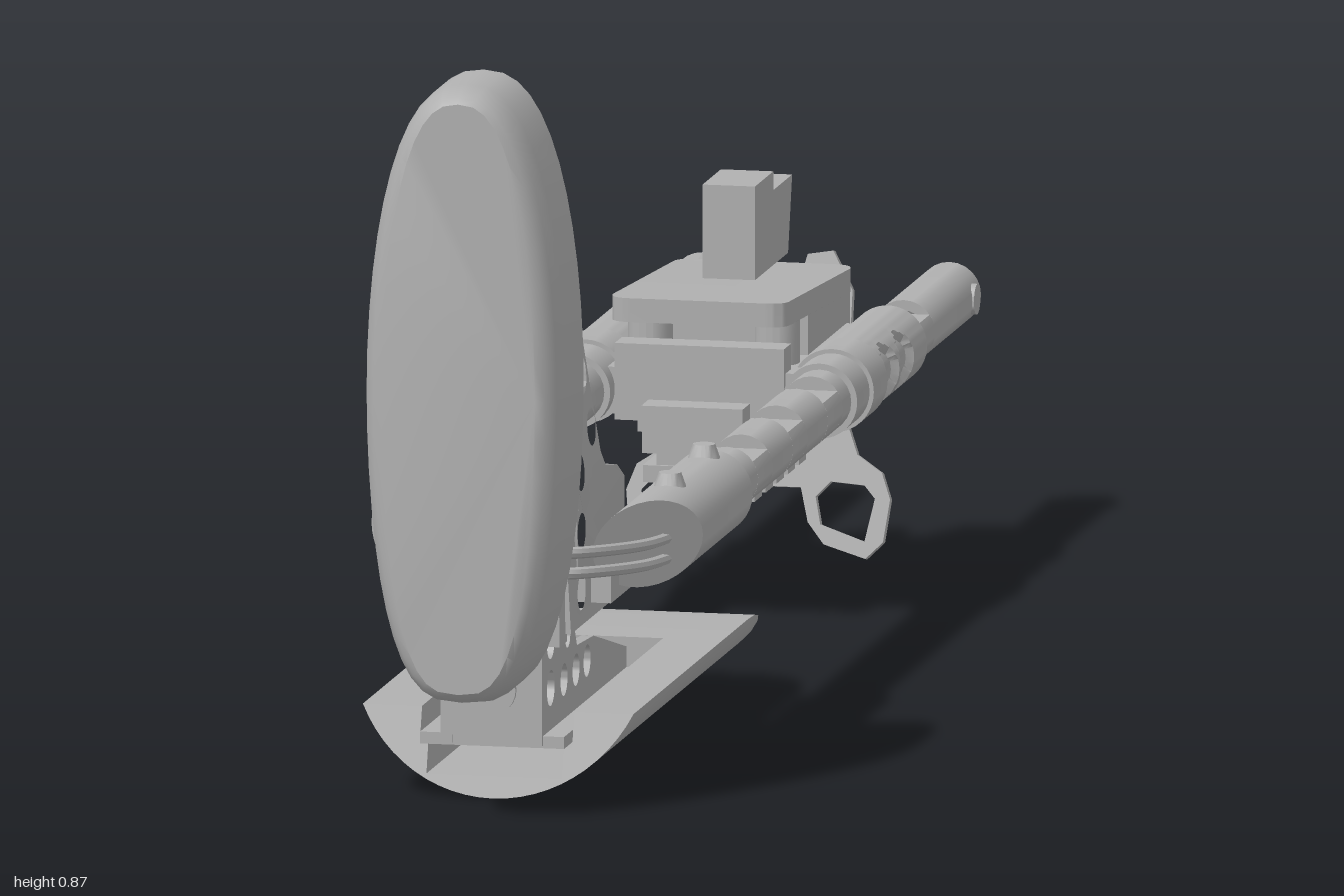
import * as THREE from 'three';
import { toCreasedNormals } from 'three/addons/utils/BufferGeometryUtils.js';

const TX = 0.146, TY = 0.274; // tube axis

export function createModel() {
  const model = new THREE.Group();
  const grey = new THREE.MeshStandardMaterial({ color: 0xb0b0b0 });
  grey.name = 'grey';

  const add = (name, geo, x = 0, y = 0, z = 0) => {
    const mesh = new THREE.Mesh(toCreasedNormals(geo, 0.6), grey);
    mesh.name = name;
    mesh.position.set(x, y, z);
    model.add(mesh);
    return mesh;
  };
  // box given by its ranges
  const box = (name, x0, x1, y0, y1, z0, z1) =>
    add(name, new THREE.BoxGeometry(x1 - x0, y1 - y0, z1 - z0), (x0 + x1) / 2, (y0 + y1) / 2, (z0 + z1) / 2);
  const rod = (r, len, seg = 24) => new THREE.CylinderGeometry(r, r, len, seg).rotateX(Math.PI / 2);
  const shapeOf = (pts) => new THREE.Shape(pts.map((p) => new THREE.Vector2(...p)));
  const circle = (x, y, r) => new THREE.Path().absarc(x, y, r, 0, Math.PI * 2, true);
  const extrude = (shape, depth) =>
    new THREE.ExtrudeGeometry(shape, { depth, bevelEnabled: false, curveSegments: 12 }).translate(0, 0, -depth / 2);
  // side profile (z, y) extruded across x
  const side = (pts, width, holes = []) => {
    const s = shapeOf(pts);
    s.holes = holes.map((h) => circle(...h));
    return extrude(s, width).rotateY(-Math.PI / 2);
  };
  const bend = (geo, rule) => {
    const p = geo.attributes.position, v = new THREE.Vector3();
    for (let i = 0; i < p.count; i++) {
      rule(v.fromBufferAttribute(p, i));
      p.setXYZ(i, v.x, v.y, v.z);
    }
    return geo;
  };
  // closed convex rings, counter-clockwise from +z, ordered by rising z
  const loft = (rings) => {
    const n = rings[0].length, pos = [], idx = [];
    rings.forEach((r) => r.forEach((p) => pos.push(...p)));
    for (let i = 0; i < rings.length - 1; i++)
      for (let j = 0; j < n; j++) {
        const a = i * n + j, b = i * n + (j + 1) % n;
        idx.push(a, b, b + n, a, b + n, a + n);
      }
    const last = (rings.length - 1) * n;
    for (let j = 1; j < n - 1; j++) idx.push(0, j + 1, j, last, last + j, last + j + 1);
    const g = new THREE.BufferGeometry();
    g.setAttribute('position', new THREE.Float32BufferAttribute(pos, 3));
    g.setIndex(idx);
    return g;
  };

  // Shoulder pad with rounded front rim
  const padRing = ([z, inset]) => Array.from({ length: 48 }, (_, i) => {
    const t = (i / 48) * Math.PI * 2, c = Math.cos(t), s = Math.sin(t);
    const w = Math.sign(c) * Math.abs(c) ** (s > 0 ? 0.8 : 0.65);
    return [w * (0.118 - inset), 0.502 + s * (0.363 - inset * 0.6), z];
  });
  add('shoulderPad', loft([[0.86, 0], [0.955, 0], [0.98, 0.006], [0.994, 0.016], [1, 0.027]].map(padRing)));

  // Plate behind the pad
  add('padBackPlate', extrude(shapeOf([[-0.09, 0.19], [0.09, 0.19], [0.085, 0.6], [0.065, 0.74], [0.045, 0.78],
    [-0.045, 0.78], [-0.065, 0.74], [-0.085, 0.6]]), 0.04), 0, 0, 0.842);

  // Perforated side plates leaning together toward the top
  const column = [0.24, 0.31, 0.38, 0.45, 0.52, 0.6].map((y) => [0.772, y, 0.022]);
  for (const s of [-1, 1]) {
    const plate = side([[0.83, 0.2], [0.55, 0.2], [0.54, 0.22], [0.54, 0.335], [0.58, 0.355], [0.64, 0.365], [0.66, 0.385],
      [0.77, 0.71], [0.83, 0.71]], 0.025, [...column, [0.725, 0.485, 0.023], [0.697, 0.42, 0.022]]);
    add('sidePlate', bend(plate, (v) => { v.x += s * (0.084 - 0.08 * Math.max(0, v.y - 0.36)); }));
  }
  box('upperCrossBar', -0.065, 0.065, 0.55, 0.58, 0.735, 0.755);
  add('upperCrossPin', new THREE.CylinderGeometry(0.03, 0.03, 0.1, 24).rotateZ(Math.PI / 2), 0, 0.64, 0.79);

  // Curved web joining the sleeves
  const web = shapeOf([[-0.12, -0.72], [0.12, -0.72], [0.12, -0.5]]);
  web.quadraticCurveTo(0.06, -0.62, 0, -0.62);
  web.quadraticCurveTo(-0.06, -0.62, -0.12, -0.5);
  add('yokeWeb', extrude(web, 0.035).rotateX(-Math.PI / 2), 0, 0.235, 0);

  // Lower bracket with hole rows, sliding in the channel of the cheek rest
  const lowerHoles = [[0.772, 0.18, 0.021], [0.772, 0.125, 0.021], [0.7, 0.122, 0.019], [0.68, 0.17, 0.014],
    [0.635, 0.122, 0.019], [0.575, 0.122, 0.019]];
  for (const s of [-1, 1])
    add('lowerBracketSide', side([[0.82, 0.065], [0.82, 0.21], [0.665, 0.21], [0.63, 0.15], [0.54, 0.145], [0.36, 0.1],
      [0.36, 0.065]], 0.014, lowerHoles), s * 0.053);
  box('lowerBracketFront', -0.06, 0.06, 0.075, 0.21, 0.805, 0.82);
  add('lowerBracketBoss', rod(0.03, 0.008), 0, 0.13, 0.822);
  box('lowerBracketFoot', -0.085, 0.085, 0.062, 0.076, 0.36, 0.815);

  // Cheek rest: solid arc section, channelled at the front, scooped down at the rear
  const R = 0.178, arc = (h) => {
    const a = Math.acos(1 - h / R);
    return Array.from({ length: 25 }, (_, i) => {
      const t = -a + (2 * a * i) / 24;
      return [R * Math.sin(t), R - R * Math.cos(t)];
    });
  };
  add('cheekRestFront', bend(extrude(shapeOf([...arc(0.1), [0.09, 0.1], [0.09, 0.06], [0.08, 0.06], [0.08, 0.025],
    [-0.08, 0.025], [-0.08, 0.06], [-0.09, 0.06], [-0.09, 0.1]]), 0.5).translate(0, 0, 0.55),
  (v) => { if (v.z > 0.7) v.z += 0.012 - v.y * 0.3; }));
  const scoop = [[-0.01, 0.022], [0, 0.042], [0.02, 0.06], [0.05, 0.078], [0.08, 0.09], [0.12, 0.098], [0.16, 0.1], [0.3, 0.1]];
  add('cheekRestRear', loft(scoop.map(([z, h]) => arc(h).map(([x, y]) => [x, y, z]))));
  for (const z of [0.25, 0.56])
    add('cheekRestScrew', new THREE.TorusGeometry(0.016, 0.005, 8, 20).rotateX(Math.PI / 2), 0, 0.005, z);

  // Notched rods, sleeves and clamps on each side
  const notches = [[0.13, 0.21], [-0.06, 0.02], [-0.25, -0.17], [-0.75, -0.67]];
  const flat = new THREE.Shape().absarc(0, 0, 0.037, Math.PI - 0.6, Math.PI * 2 + 0.6, false);
  const ring = new THREE.Shape().absarc(0, 0, 0.037, 0, Math.PI * 2, false);
  ring.holes.push(circle(0, 0, 0.025));
  for (const s of [-1, 1]) {
    const x = s * TX;
    let z1 = 0.4;
    for (const [a, b] of notches) {
      add('rodSection', rod(0.037, z1 - b), x, TY, (z1 + b) / 2);
      add('rodNotch', extrude(flat, b - a), x, TY, (a + b) / 2);
      z1 = a;
    }
    add('rodEnd', extrude(ring, 0.25), x, TY, -0.875);
    add('rodEndButton', new THREE.CylinderGeometry(0.018, 0.018, 0.012, 20).rotateZ(Math.PI / 2), x + s * 0.033, TY, -0.97);

    // sleeve with slanted front end
    add('sleeve', bend(rod(0.05, 0.3, 32), (v) => {
      v.z = v.z < 0 ? 0.3 : 0.57 + (0.05 - s * v.x) * 1.4;
    }), x, TY, 0);
    for (const z of [0.335, 0.52])
      add('sleeveScrew', new THREE.CylinderGeometry(0.013, 0.02, 0.02, 20), x, 0.327, z);

    // bent wire stay
    for (const dy of [-0.012, 0.012]) {
      const path = new THREE.CatmullRomCurve3([[0.165, 0.262 + dy, 0.58], [0.15, 0.268 + dy, 0.68], [0.115, 0.282 + dy, 0.81],
        [0.095, 0.285 + dy, 0.84], [0.07, 0.285 + dy, 0.845]].map(([px, py, pz]) => new THREE.Vector3(s * px, py, pz)));
      add('wireStay', new THREE.TubeGeometry(path, 24, 0.007, 8));
    }

    // clamp with two scooped recesses on its outer face
    const clamp = new THREE.CylinderGeometry(0.046, 0.046, 0.3, 48, 60).rotateX(Math.PI / 2);
    add('clamp', bend(clamp, (v) => {
      const r = Math.hypot(v.x, v.y);
      for (const hz of [0.035, -0.045])
        if (r > 0.04 && s * v.x > 0 && Math.hypot(v.z - hz, v.y) < 0.034) { v.x *= 0.8; v.y *= 0.8; }
    }), x, TY, -0.515);
    add('clampCollar', rod(0.049, 0.075, 32), x, TY, -0.4);
    add('clampEnd', rod(0.044, 0.07, 32), x, TY, -0.33);
    box('clampBridge', s > 0 ? 0.07 : -0.13, s > 0 ? 0.13 : -0.07, 0.245, 0.3, -0.65, -0.32);
    add('coverPost', new THREE.CylinderGeometry(0.026, 0.026, 0.08, 20), s * 0.075, 0.325, -0.39);
  }

  // Rear housing: cover, core and grooved rail
  const cover = new THREE.Shape().moveTo(-0.08, 0.3).lineTo(0.08, 0.3).quadraticCurveTo(0.105, 0.3, 0.105, 0.325)
    .lineTo(0.105, 0.645).quadraticCurveTo(0.105, 0.67, 0.08, 0.67).lineTo(-0.08, 0.67)
    .quadraticCurveTo(-0.105, 0.67, -0.105, 0.645).lineTo(-0.105, 0.325).quadraticCurveTo(-0.105, 0.3, -0.08, 0.3);
  add('housingCover', bend(extrude(cover, 0.028).rotateX(-Math.PI / 2), (v) => {
    if (v.z < -0.64) v.y -= 0.02;
  }), 0, 0.371, 0);
  box('housingUpper', -0.1, 0.1, 0.29, 0.36, -0.67, -0.44);
  box('housingFrontWall', -0.1, 0.1, 0.24, 0.33, -0.35, -0.31);
  box('housingCore', -0.075, 0.075, 0.225, 0.3, -0.66, -0.32);
  box('housingTab', -0.06, 0.06, 0.24, 0.265, -0.32, -0.27);
  box('housingBelly', -0.07, 0.07, 0.2, 0.23, -0.65, -0.32);
  box('railNeck', -0.055, 0.055, 0.16, 0.2, -0.62, -0.33);
  box('railBand', -0.07, 0.07, 0.165, 0.185, -0.62, -0.325);
  for (let i = 0; i < 5; i++) box('railTooth', -0.06, 0.06, 0.145, 0.166, -0.375 - i * 0.06, -0.335 - i * 0.06);

  // Stepped block on the cover
  add('topBlock', side([[-0.47, 0.38], [-0.47, 0.49], [-0.57, 0.49], [-0.57, 0.468], [-0.672, 0.468], [-0.65, 0.38]], 0.062));

  // Tilted rear lever plate with finger loops
  const half = [[0.02, 0.28], [0.045, 0.38], [0.075, 0.385], [0.1, 0.34], [0.1, 0.19], [0.115, 0.15], [0.145, 0.13],
    [0.156, 0.1], [0.15, 0.05], [0.13, 0.03], [0.08, 0.045], [0.06, 0.07], [0.05, 0.11]];
  const mirror = (pts) => pts.map(([x, y]) => [-x, y]);
  const lever = shapeOf([...half, ...mirror(half).reverse()]);
  const loop = [[0.075, 0.068], [0.128, 0.05], [0.138, 0.1], [0.125, 0.115], [0.085, 0.118], [0.068, 0.1]];
  lever.holes = [loop, mirror(loop)].map((pts) => new THREE.Path(pts.map((p) => new THREE.Vector2(...p))));
  const leverGroup = new THREE.Group();
  leverGroup.name = 'rearLever';
  leverGroup.add(add('leverPlate', extrude(lever, 0.012)),
    add('leverKnob', rod(0.03, 0.035), 0, 0.265, -0.02),
    add('leverKnobTip', rod(0.018, 0.07), 0, 0.265, -0.03),
    add('leverStud', rod(0.024, 0.05), 0, 0.17, -0.02),
    add('leverPivot', rod(0.022, 0.09), 0, 0.2, 0.035));
  leverGroup.position.z = -0.613;
  leverGroup.rotation.x = -0.225;
  model.add(leverGroup);

  return model;
}
